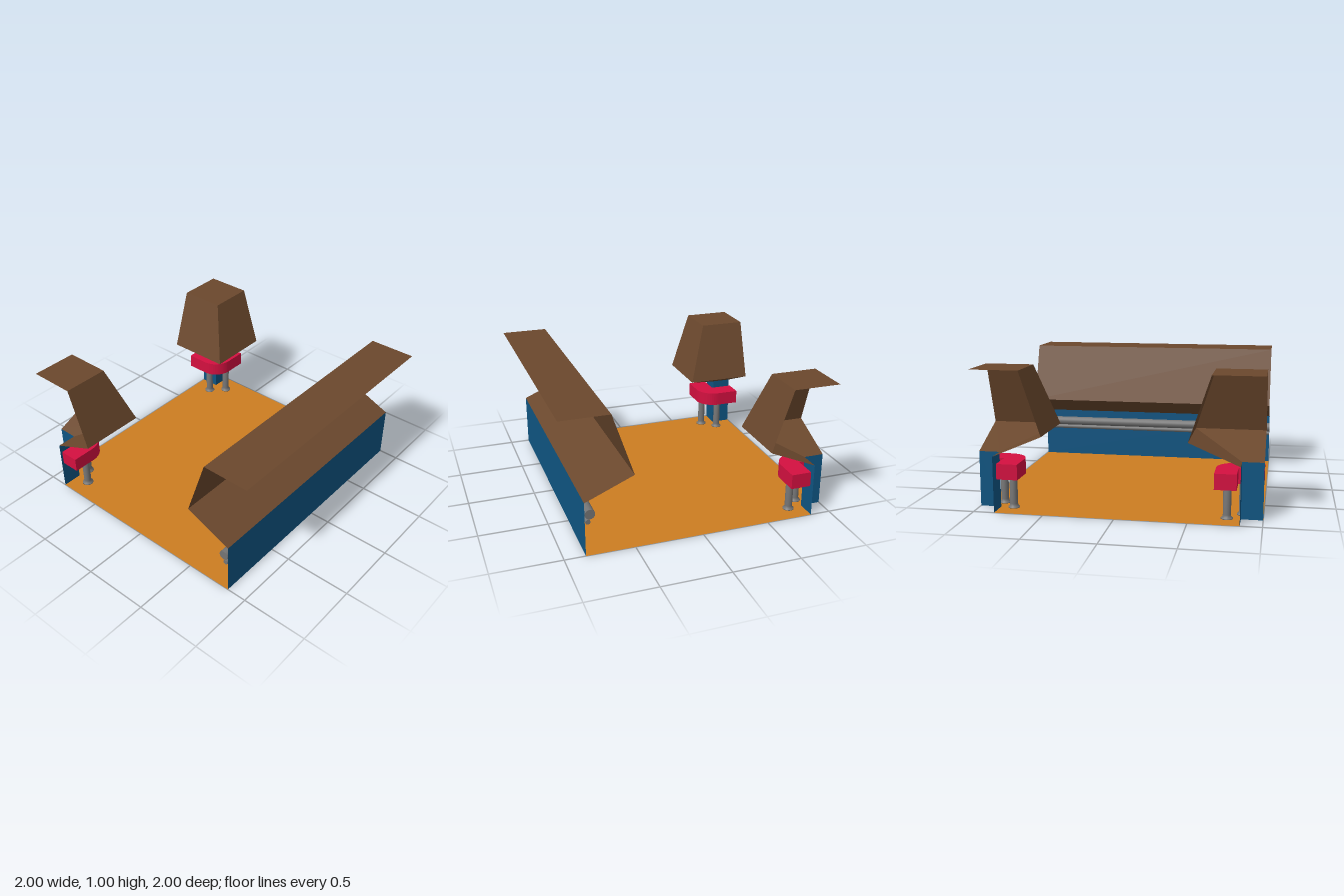
import * as THREE from 'three';

const mat = (name, color, open) => {
  const m = new THREE.MeshStandardMaterial({ color });
  m.name = name;
  if (open) m.side = THREE.DoubleSide;
  return m;
};

function mesh(name, geometry, material) {
  const m = new THREE.Mesh(geometry, material);
  m.name = name;
  return m;
}

// Flat four-cornered panels, each given as corners in anticlockwise order
function panels(quads) {
  const pos = [];
  for (const [a, b, c, d] of quads) pos.push(...a, ...b, ...c, ...a, ...c, ...d);
  const g = new THREE.BufferGeometry();
  g.setAttribute('position', new THREE.Float32BufferAttribute(pos, 3));
  g.computeVertexNormals();
  return g;
}

export function createModel() {
  const model = new THREE.Group();
  model.name = 'cornerRoom';
  const brown = mat('brown', 0x6b482d, true);
  const blue = mat('blue', 0x0f5582, true);
  const orange = mat('orange', 0xcc7d21, true);
  const red = mat('red', 0xd41040);
  const grey = mat('grey', 0x757575);

  // Wall section: [distance in from the outer edge, height]
  const section = [[0.15, 0], [0.15, 0.4], [0.5, 0.55], [0.35, 1], [0, 1]];

  // Floor with the two back corners notched out
  const outline = [[-1, -0.85], [1, -0.85], [1, 0.85], [0.85, 0.85], [0.85, 1],
    [-0.85, 1], [-0.85, 0.85], [-1, 0.85]];
  const floor = new THREE.ShapeGeometry(new THREE.Shape(outline.map(p => new THREE.Vector2(...p))));
  model.add(mesh('floor', floor.rotateX(-Math.PI / 2), orange));

  // Front wall: the section run straight along x
  const frontQuads = section.slice(1).map(([d1, y1], i) => {
    const [d0, y0] = section[i];
    return [[1, y0, 1 - d0], [-1, y0, 1 - d0], [-1, y1, 1 - d1], [1, y1, 1 - d1]];
  });
  model.add(mesh('frontLowerWall', panels(frontQuads.slice(0, 1)), blue));
  model.add(mesh('frontUpperWall', panels(frontQuads.slice(1)), brown));

  // Rails along the inside of the front wall
  for (const [name, r, y, z] of [['rail', 0.036, 0.31, 0.813], ['lowerRail', 0.018, 0.255, 0.828]]) {
    const rail = mesh(name, new THREE.CylinderGeometry(r, r, 2, 16).rotateZ(Math.PI / 2), grey);
    rail.position.set(0, y, z);
    model.add(rail);
  }

  // Back corner, made for +x: the section turned around the corner post
  function corner() {
    const g = new THREE.Group();
    const quads = section.slice(1).map(([d1, y1], i) => {
      const [d0, y0] = section[i];
      const a = 1 - d0, b = 1 - d1;
      return [
        [[a, y0, -a], [1, y0, -a], [1, y1, -b], [b, y1, -b]],
        [[a, y0, -1], [a, y0, -a], [b, y1, -b], [b, y1, -1]],
      ];
    });
    // The top is one square
    const top = [[0.65, 1, -0.65], [1, 1, -0.65], [1, 1, -1], [0.65, 1, -1]];
    g.add(mesh('cornerLowerWall', panels(quads[0]), blue));
    g.add(mesh('cornerUpperWall', panels([...quads[1], ...quads[2], top]), brown));

    // Counter wrapped around the post with a rounded outer corner
    const s = new THREE.Shape();
    s.moveTo(1, 0.825);
    s.lineTo(0.825, 0.825);
    s.lineTo(0.825, 1);
    s.lineTo(0.675, 1);
    s.lineTo(0.675, 0.825);
    s.absarc(0.825, 0.825, 0.15, Math.PI, Math.PI * 1.5, false);
    s.lineTo(1, 0.675);
    const counter = new THREE.ExtrudeGeometry(s, { depth: 0.11, bevelEnabled: false, curveSegments: 6 });
    counter.rotateX(-Math.PI / 2).translate(0, 0.24, 0);
    g.add(mesh('counter', counter, red));

    // Legs with flared feet
    const profile = [[0, 0], [0.042, 0], [0.042, 0.006], [0.03, 0.014], [0.028, 0.03], [0.028, 0.26], [0, 0.26]]
      .map(p => new THREE.Vector2(...p));
    for (const [x, z] of [[0.755, -0.845], [0.858, -0.738]]) {
      const leg = mesh('counterLeg', new THREE.LatheGeometry(profile, 16), grey);
      leg.position.set(x, 0, z);
      g.add(leg);
    }
    return g;
  }

  for (const side of [1, -1]) {
    const c = corner();
    c.name = side > 0 ? 'backLeftCorner' : 'backRightCorner';
    c.scale.x = side;
    model.add(c);
  }
  return model;
}
